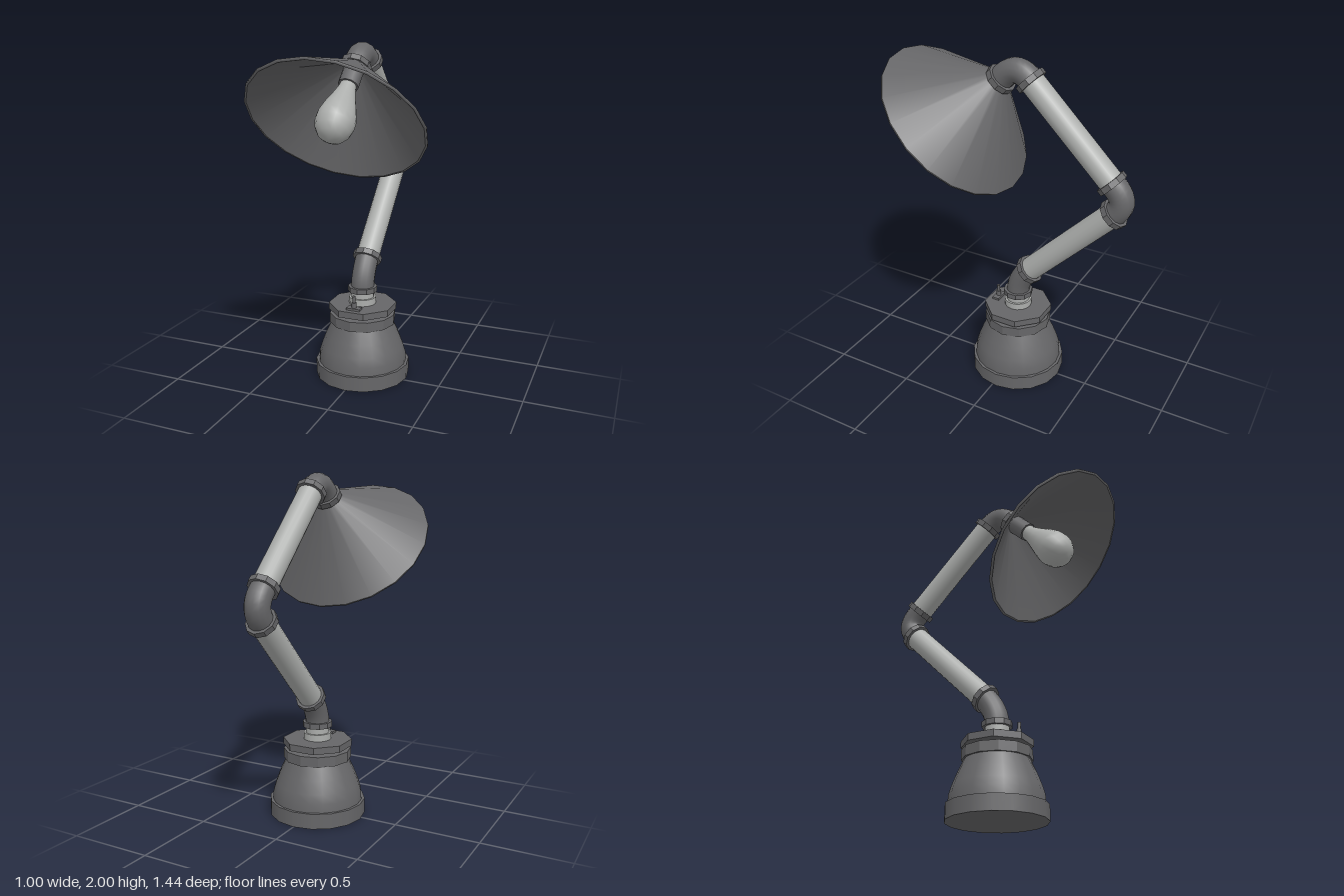
import * as THREE from 'three';

export function createModel() {
  const lamp = new THREE.Group();
  const dark = new THREE.MeshStandardMaterial({ color: 0x666668 });
  dark.name = 'dark iron';
  const light = new THREE.MeshStandardMaterial({ color: 0xacaeac });
  light.name = 'light steel';
  const up = new THREE.Vector3(0, 1, 0);
  const BASE_Z = -0.027;

  const add = (name, geo, mat, parent = lamp) => {
    const mesh = new THREE.Mesh(geo, mat);
    mesh.name = name;
    parent.add(mesh);
    return mesh;
  };
  // Point in the lamp's middle plane
  const P = (y, z) => new THREE.Vector3(0, y, z);
  const lathe = (pts, sides) =>
    new THREE.LatheGeometry(pts.map(([r, y]) => new THREE.Vector2(r, y)), sides);
  // Faceted solids get flat faces
  const faceted = (r, h, sides) => {
    const g = new THREE.CylinderGeometry(r, r, h, sides).toNonIndexed();
    g.computeVertexNormals();
    return g;
  };
  const rod = (name, a, b, r, mat) => {
    const m = add(name, new THREE.CylinderGeometry(r, r, a.distanceTo(b), 16), mat);
    m.position.copy(a).lerp(b, 0.5);
    m.quaternion.setFromUnitVectors(up, b.clone().sub(a).normalize());
    return m;
  };
  const ring = (name, p, dir, r = 0.088, h = 0.034) => {
    const m = add(name, faceted(r, h, 10), dark);
    m.position.copy(p);
    m.quaternion.setFromUnitVectors(up, dir.clone().normalize());
  };
  const elbow = (name, a, mid, b) => add(name, new THREE.TubeGeometry(
    new THREE.QuadraticBezierCurve3(a, mid, b), 10, 0.07, 14), dark);
  const disc = (name, y0, y1, r, sides, mat, turn = 0) => {
    const m = add(name, sides > 15 ? new THREE.CylinderGeometry(r, r, y1 - y0, sides)
      : faceted(r, y1 - y0, sides), mat);
    m.position.set(0, (y0 + y1) / 2, BASE_Z);
    m.rotation.y = turn;
  };

  // Base
  disc('baseFoot', 0, 0.09, 0.285, 16, dark);
  const body = add('baseBody', lathe([[0.268, 0.085], [0.264, 0.14], [0.249, 0.19],
    [0.222, 0.26], [0.185, 0.34]], 20), dark);
  body.position.z = BASE_Z;
  disc('baseCollar', 0.338, 0.398, 0.2, 12, dark);
  disc('baseSpacer', 0.39, 0.42, 0.1, 12, dark);
  disc('octagonPlate', 0.415, 0.455, 0.205, 8, dark, Math.PI / 8);
  disc('neckFlange', 0.45, 0.495, 0.082, 16, light);
  disc('neckPipe', 0.49, 0.54, 0.07, 16, light);
  disc('neckRing', 0.53, 0.562, 0.088, 10, dark);

  // Toggle switch
  add('switchPlate', new THREE.BoxGeometry(0.085, 0.014, 0.045), dark).position.set(0, 0.461, 0.11);
  rod('switchStem', P(0.46, 0.11), P(0.5, 0.11), 0.014, dark);
  rod('switchLever', P(0.495, 0.11), P(0.54, 0.112), 0.009, dark);

  // Pipe arm
  const back = P(1, -1), fore = P(1, 1), axis = P(-1, 1).normalize();
  const a = P(0.72, -0.105), b = P(1.227, -0.61), c = P(1.405, -0.588), d = P(1.888, -0.1);
  const e = P(1.868, 0.082);
  elbow('lowerElbow', P(0.55, BASE_Z), P(0.63, -0.03), a);
  rod('lowerPipe', a, b, 0.07, light);
  elbow('middleElbow', b, P(1.316, -0.7), c);
  rod('upperPipe', c, d, 0.07, light);
  elbow('upperElbow', d, P(1.979, -0.008), e);
  ring('lowerPipeRing', a, back);
  ring('middleRingLow', b, back);
  ring('middleRingHigh', c, fore);
  ring('upperPipeRing', d, fore);
  ring('shadeRing', e, axis);

  // Shade and bulb, built along the local y axis
  const head = new THREE.Group();
  head.name = 'lampHead';
  head.position.set(0, 1.857, 0.101);
  head.quaternion.setFromUnitVectors(up, axis);
  lamp.add(head);
  add('shadeOuter', lathe([[0.066, -0.01], [0.5, 0.37]], 20), dark, head);
  add('shadeLip', lathe([[0.5, 0.37], [0.499, 0.38], [0.488, 0.38]], 20), dark, head);
  add('shadeInner', lathe([[0.488, 0.38], [0.056, 0.002], [0, 0.002]], 20), dark, head);
  add('bulbSocket', new THREE.CylinderGeometry(0.058, 0.058, 0.12, 10), dark, head).position.y = 0.06;
  add('bulb', lathe([[0.045, 0.11], [0.05, 0.15], [0.068, 0.21], [0.092, 0.28], [0.107, 0.34],
    [0.108, 0.38], [0.097, 0.425], [0.07, 0.462], [0.035, 0.482], [0, 0.488]], 16), light, head);

  return lamp;
}
